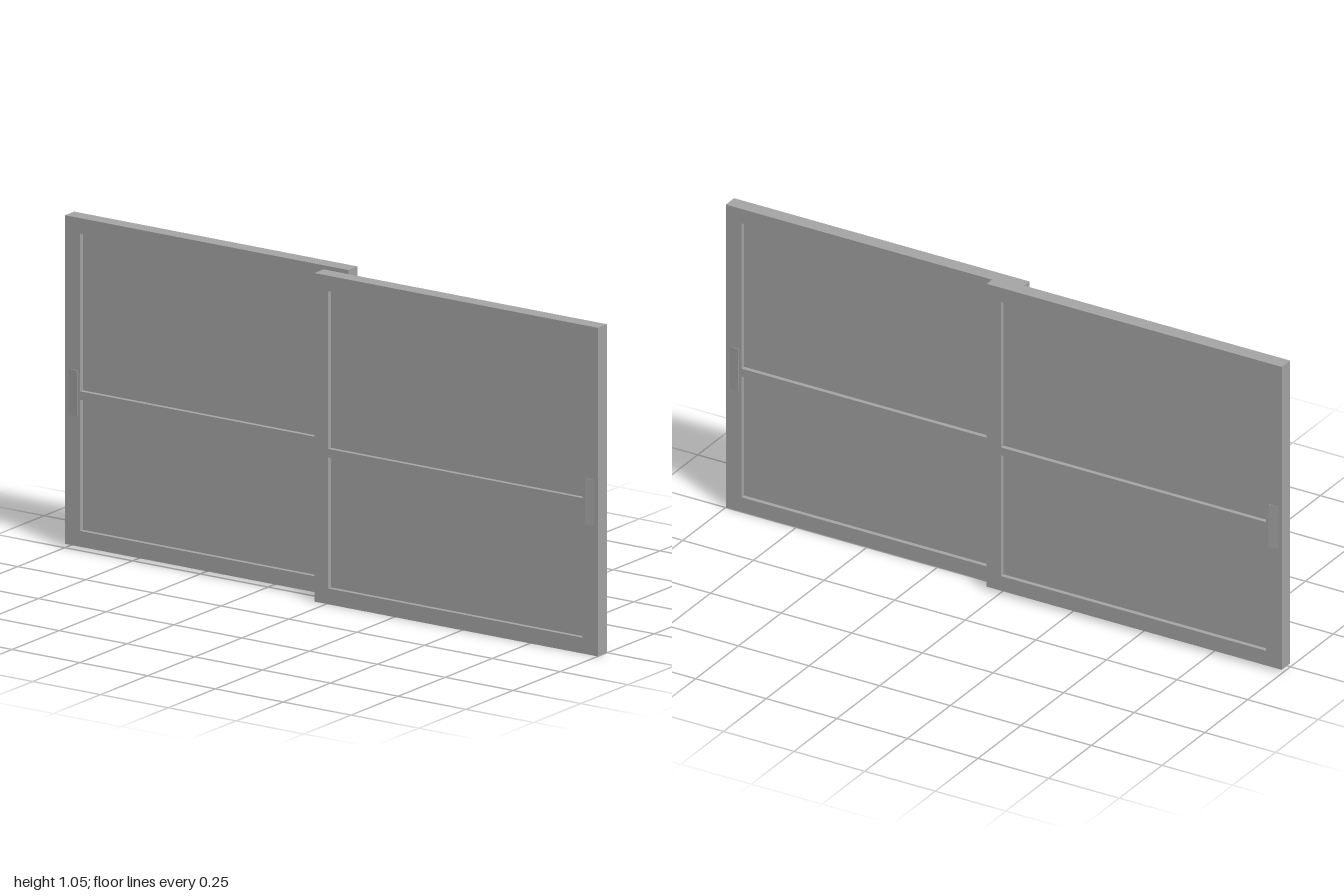
import * as THREE from 'three';

const W = 1.045, H = 1.036, T = 0.049;
const grey = new THREE.MeshStandardMaterial({ color: 0xa6a6a6 });
grey.name = 'grey';

function rect(path, x0, y0, x1, y1) {
  path.moveTo(x0, y0);
  path.lineTo(x1, y0);
  path.lineTo(x1, y1);
  path.lineTo(x0, y1);
  path.closePath();
  return path;
}

function add(group, name, geometry, x = 0, y = 0, z = 0) {
  const mesh = new THREE.Mesh(geometry, grey);
  mesh.name = name;
  mesh.position.set(x, y, z);
  group.add(mesh);
  return mesh;
}

// One sash, from x = 0 (meeting stile) to x = W (handle stile), centred on z = 0
function createSash(name) {
  const sash = new THREE.Group();
  sash.name = name;
  const x0 = 0.051, x1 = W - 0.056;
  const panes = [[0.05, 0.463], [0.49, 0.987]];

  // Frame with two openings split by the middle rail
  const outline = rect(new THREE.Shape(), 0, 0, W, H);
  for (const [y0, y1] of panes) outline.holes.push(rect(new THREE.Path(), x0, y0, x1, y1));
  add(sash, 'frame', new THREE.ExtrudeGeometry(outline, { depth: T, bevelEnabled: false }), 0, 0, -T / 2);

  // Recessed panes
  panes.forEach(([y0, y1], i) => {
    add(sash, i ? 'upperPane' : 'lowerPane', new THREE.BoxGeometry(x1 - x0, y1 - y0, 0.02),
      (x0 + x1) / 2, (y0 + y1) / 2, 0);
  });

  // Shallow wedge-shaped finger pulls, raised on the side facing the panes
  for (const side of [1, -1]) {
    const pull = new THREE.BoxGeometry(0.033, 0.145, 0.004);
    const p = pull.attributes.position;
    for (let i = 0; i < p.count; i++) {
      if (p.getX(i) > 0 && p.getZ(i) * side > 0) p.setZ(i, -0.001 * side);
    }
    pull.computeVertexNormals();
    add(sash, side > 0 ? 'frontPull' : 'backPull', pull, W - 0.029, 0.482, side * (T / 2 + 0.001));
  }
  return sash;
}

export function createModel() {
  const model = new THREE.Group();
  model.name = 'slidingWindow';

  // Front sash on the model's left
  const front = createSash('frontSash');
  front.position.set(1 - W, 0, 0.0255);

  // Rear sash, turned around and set slightly higher
  const rear = createSash('rearSash');
  rear.rotation.y = Math.PI;
  rear.position.set(W - 1, 0.012, -0.0255);

  model.add(front, rear);
  return model;
}
